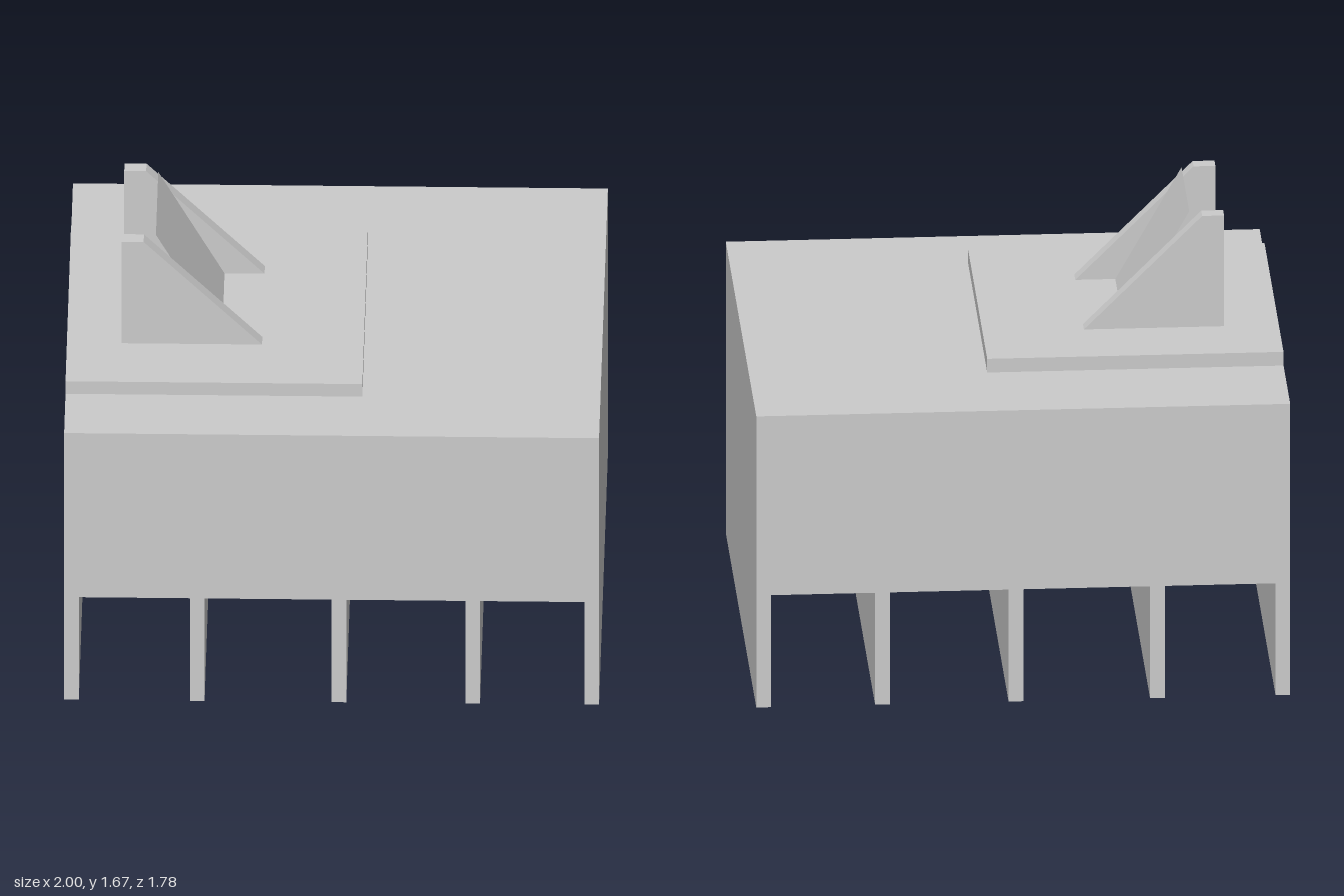
import * as THREE from 'three';

const material = new THREE.MeshStandardMaterial({ color: 0xcccccc, flatShading: true });

// Extrude a front-view outline from z0 to z1
function slab(name, points, z0, z1) {
  const shape = new THREE.Shape(points.map(([x, y]) => new THREE.Vector2(x, y)));
  const geometry = new THREE.ExtrudeGeometry(shape, { depth: z1 - z0, bevelEnabled: false });
  geometry.translate(0, 0, z0);
  const mesh = new THREE.Mesh(geometry, material);
  mesh.name = name;
  return mesh;
}

export function createModel() {
  const group = new THREE.Group();
  group.name = 'model';

  // Main block with its supporting walls cut as one outline
  const legs = [[-1, -0.945], [-0.53, -0.475], [0, 0.055], [0.5, 0.555], [0.945, 1]];
  const outline = [];
  for (const [a, b] of legs) {
    if (a > -1) outline.push([a, 0.45]);
    outline.push([a, 0], [b, 0]);
    if (b < 1) outline.push([b, 0.45]);
  }
  outline.push([1, 1.17], [-1, 1.17]);
  group.add(slab('bodyWithLegs', outline, -0.89, 0.89));

  // Raised plate, flush with one side
  group.add(slab('topPlate', [[-1, 1.17], [0.11, 1.17], [0.11, 1.225], [-1, 1.225]], -0.5, 0.61));

  // Pair of sloped side brackets
  const bracket = [[-0.795, 1.225], [-0.27, 1.225], [-0.713, 1.67], [-0.795, 1.67]];
  group.add(slab('backBracket', bracket, -0.225, -0.17));
  group.add(slab('frontBracket', bracket, 0.28, 0.335));

  // Steep wedge between the brackets
  group.add(slab('wedge', [[-0.668, 1.225], [-0.42, 1.225], [-0.668, 1.668]], -0.17, 0.28));

  return group;
}
